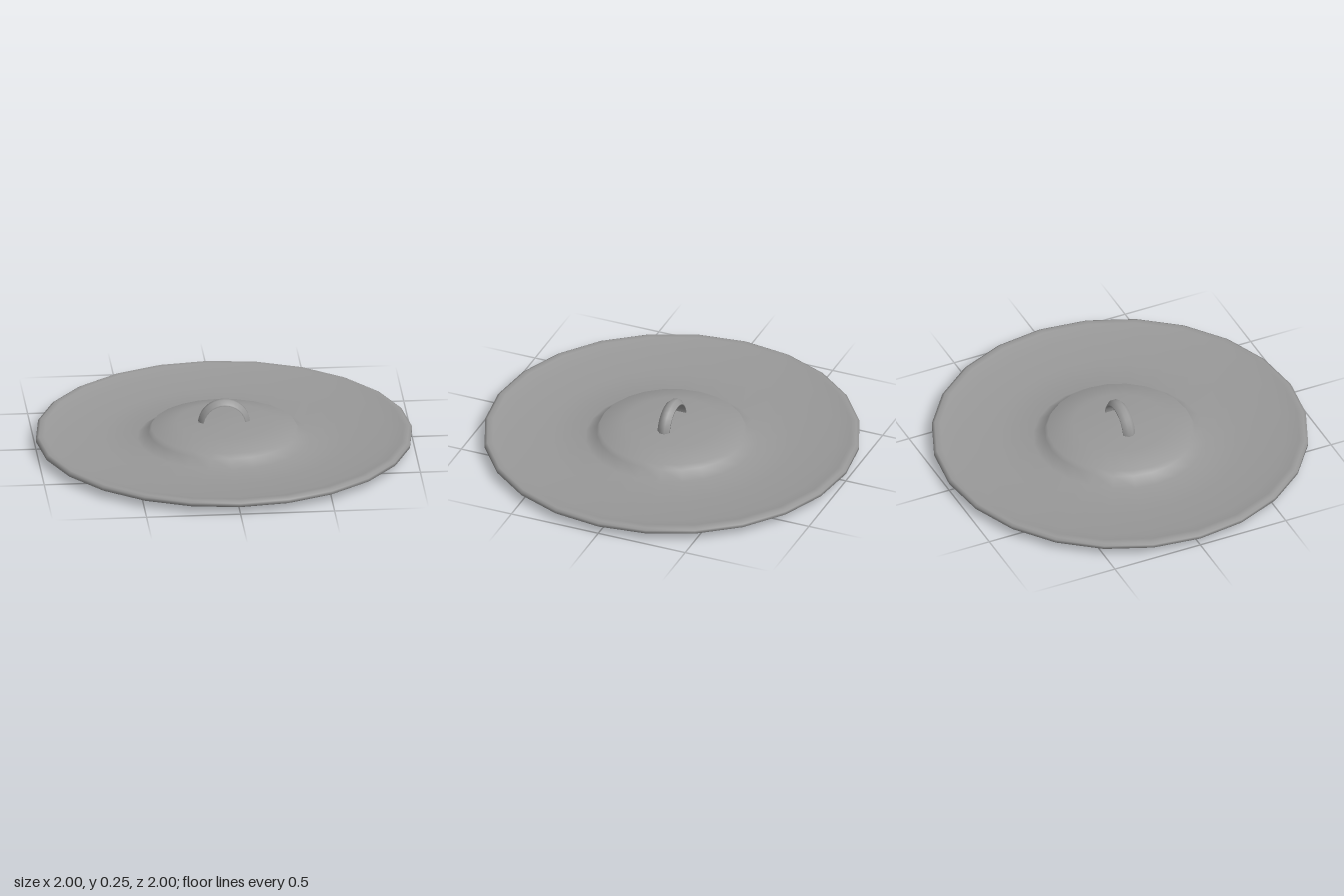
import * as THREE from 'three';

const points = (pairs) => pairs.map(([r, y]) => new THREE.Vector2(r, y));

export function createModel() {
  const group = new THREE.Group();
  const material = new THREE.MeshStandardMaterial({ color: 0x999999 });

  // Lid: flat underside, raised rim, shallow dish and central dome
  const lidProfile = points([
    [0, 0], [0.85, 0], [0.92, 0.034], [0.985, 0.034],
    [1, 0.042], [1, 0.06], [0.985, 0.068], [0.955, 0.069],
    [0.88, 0.047], [0.65, 0.036], [0.46, 0.034],
    [0.4, 0.07], [0.385, 0.095], [0.25, 0.127], [0, 0.13],
  ]);
  const lid = new THREE.Mesh(new THREE.LatheGeometry(lidProfile, 24), material);
  lid.name = 'lid';
  group.add(lid);

  // Handle: half ring, flat inside and bevelled to a narrow outer band
  const handleProfile = points([
    [0.111, -0.034], [0.118, -0.034], [0.138, -0.012],
    [0.138, 0.012], [0.118, 0.034], [0.111, 0.034], [0.111, -0.034],
  ]);
  const ring = new THREE.LatheGeometry(handleProfile, 16, -Math.PI / 2, Math.PI);
  ring.rotateX(-Math.PI / 2);
  const handle = new THREE.Mesh(ring, material);
  handle.name = 'handle';
  handle.position.y = 0.112;
  group.add(handle);

  return group;
}
